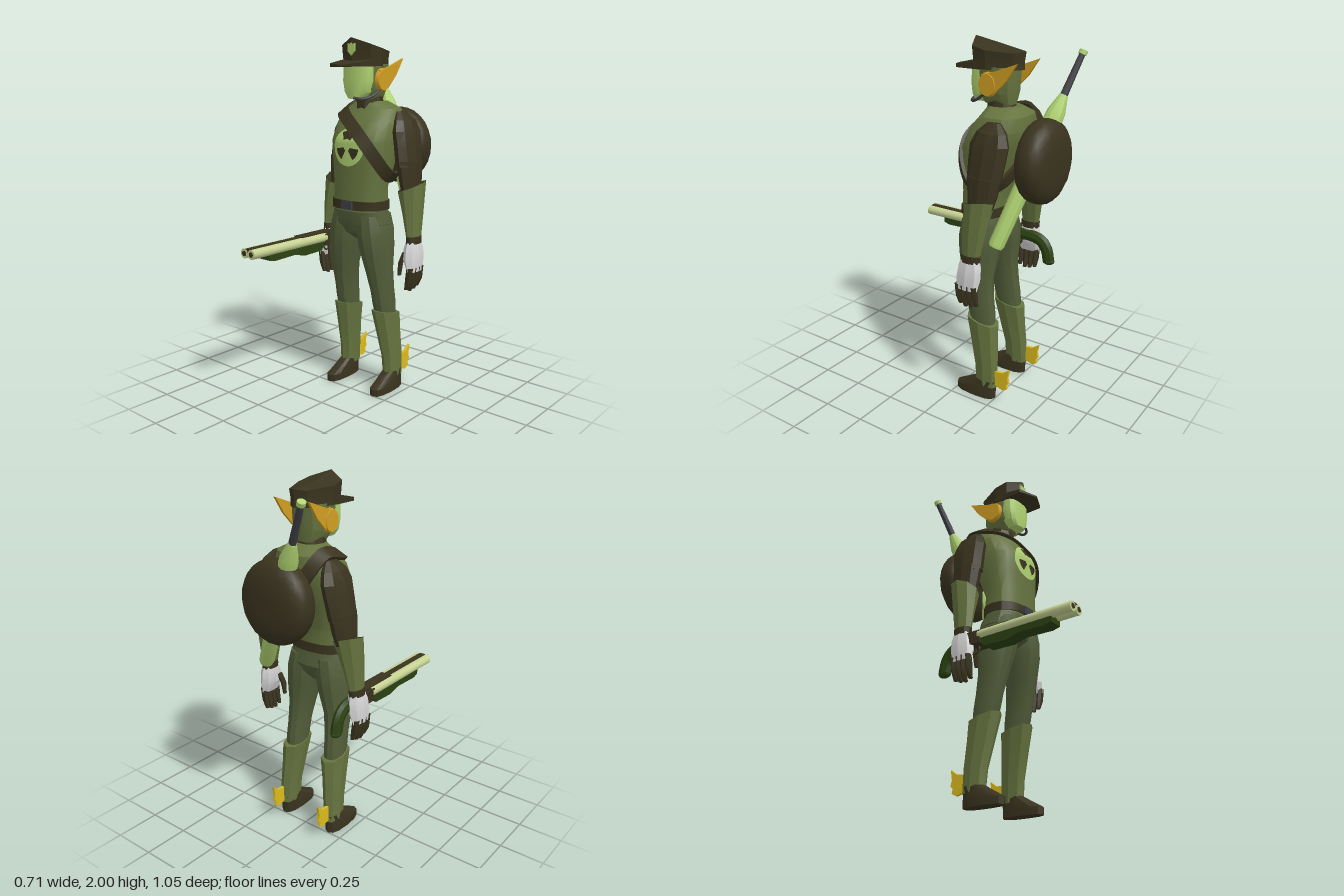
import * as THREE from 'three';
import { toCreasedNormals } from 'three/addons/utils/BufferGeometryUtils.js';

const material = (name, color) => Object.assign(new THREE.MeshStandardMaterial({ color }), { name });

// Skin a list of equal-length rings of [x, y, z]; fan caps close the ends.
function skin(rings, caps = true) {
  const n = rings[0].length, pos = [], idx = [];
  rings.forEach(r => r.forEach(p => pos.push(...p)));
  for (let i = 0; i < rings.length - 1; i++) for (let j = 0; j < n; j++) {
    const a = i * n + j, c = i * n + (j + 1) % n;
    idx.push(a, a + n, c, a + n, c + n, c);
  }
  if (caps) [0, rings.length - 1].forEach((r, end) => {
    const c = pos.length / 3;
    for (let k = 0; k < 3; k++) pos.push(rings[r].reduce((s, p) => s + p[k], 0) / n);
    for (let j = 0; j < n; j++) {
      const a = r * n + j, b = r * n + (j + 1) % n;
      idx.push(c, ...(end ? [b, a] : [a, b]));
    }
  });
  const g = new THREE.BufferGeometry();
  g.setAttribute('position', new THREE.Float32BufferAttribute(pos, 3));
  g.setIndex(idx);
  return g;
}

// Rings from bottom to top: [y, cx, cz, rx, rz, slope along x, slope along z]; p squares the section.
function loft(rows, n = 10, p = 2) {
  const pw = v => Math.sign(v) * Math.abs(v) ** (2 / p);
  return skin(rows.map(([y, cx, cz, rx, rz, sx = 0, sz = 0]) => Array.from({ length: n }, (_, j) => {
    const a = j / n * Math.PI * 2, dx = rx * pw(Math.cos(a)), dz = rz * pw(Math.sin(a));
    return [cx + dx, y + sx * dx + sz * dz, cz + dz];
  })));
}

// Plate cut from a side profile of [z, y] points, centred on x.
function plate(points, x, thick) {
  const s = new THREE.Shape(points.map(([z, y]) => new THREE.Vector2(-z, y)));
  return new THREE.ExtrudeGeometry(s, { depth: thick, bevelEnabled: false })
    .translate(0, 0, x - thick / 2).rotateY(Math.PI / 2);
}

const box = (x, y, z, w, h, d) => new THREE.BoxGeometry(w, h, d).translate(x, y, z);
const tube = (pts, r, n = 16, sides = 6) => new THREE.TubeGeometry(
  new THREE.CatmullRomCurve3(pts.map(p => new THREE.Vector3(...p))), n, r, sides);

function mirrored(g) {
  const m = g.index ? g.toNonIndexed() : g.clone();
  const a = m.attributes.position;
  for (let i = 0; i < a.count; i += 3) {
    const t = [0, 2, 1].map(k => [-a.getX(i + k), a.getY(i + k), a.getZ(i + k)]);
    t.forEach((v, k) => a.setXYZ(i + k, ...v));
  }
  return m;
}

// Torso rings, also used to lay the badge and strap on the chest: [y, cx, cz, rx, rz]
const TORSO = [[1.06, 0, -.09, .163, .115], [1.2, 0, -.09, .163, .112], [1.32, 0, -.115, .18, .137],
  [1.45, 0, -.142, .195, .165], [1.55, 0, -.18, .19, .155], [1.62, 0, -.205, .16, .12], [1.66, 0, -.19, .08, .085]];
function chestZ(x, y) {
  let i = 0;
  while (i < TORSO.length - 2 && TORSO[i + 1][0] < y) i++;
  const t = (y - TORSO[i][0]) / (TORSO[i + 1][0] - TORSO[i][0]);
  const [cz, rx, rz] = [2, 3, 4].map(k => THREE.MathUtils.lerp(TORSO[i][k], TORSO[i + 1][k], t));
  return cz + rz * Math.max(0, 1 - Math.min(1, Math.abs(x) / rx) ** 2.5) ** .4;
}
function onChest(g, lift, cy = 1.415) {
  const a = g.attributes.position;
  for (let i = 0; i < a.count; i++) {
    const x = a.getX(i), y = a.getY(i) + cy;
    a.setXYZ(i, x, y, chestZ(x, y) + lift);
  }
  return g;
}

export function createModel() {
  const root = new THREE.Group();
  const brown = material('dark brown', 0x39331e), shirt = material('shirt green', 0x66743f);
  const trouser = material('trouser green', 0x525d39), lime = material('lime', 0xb0d371);
  const pale = material('pale barrel green', 0xc6d292), gold = material('gold', 0xd09e22);
  const yellow = material('wing yellow', 0xdcbb1e), white = material('glove white', 0xd6d6d6);
  const grey = material('dark grey', 0x404046), stockGreen = material('stock green', 0x2b4212);

  const add = (name, g, mat, crease = .5) => {
    const m = new THREE.Mesh(toCreasedNormals(g, crease), mat);
    m.name = name;
    root.add(m);
  };
  const pair = (name, g, mat, crease) => {
    add(name + 'Left', g, mat, crease);
    add(name + 'Right', mirrored(g), mat, crease);
  };

  // Torso, belt and pelvis
  add('torso', loft(TORSO, 16, 2.5), shirt);
  add('belt', loft([[1.07, 0, -.09, .17, .122], [1.12, 0, -.09, .17, .122]], 16, 2.5), brown);
  add('buckle', box(0, 1.095, .033, .075, .046, .012), grey);
  add('pelvis', loft([[.89, 0, -.11, .025, .05], [.94, 0, -.1, .1, .105], [.99, 0, -.1, .184, .122], [1.075, 0, -.09, .163, .114]], 16, 2.4), trouser);
  add('collar', loft([[1.6, 0, -.175, .09, .095], [1.67, 0, -.165, .073, .075], [1.74, 0, -.165, .065, .07]], 10), brown);

  // Chest badge with a three-bladed sign
  add('chestBadge', onChest(new THREE.RingGeometry(.0001, .104, 28, 6), .007), lime);
  [[60, 60, .045, .09], [186, 54, .02, .077], [300, 54, .02, .077]].forEach(([start, span, r0, r1]) =>
    add('badgeBlade', onChest(new THREE.RingGeometry(r0, r1, 8, 3, start * Math.PI / 180, span * Math.PI / 180), .011), brown));

  // Shoulder strap: a flat band looped around the torso
  const front = [[-.155, 1.61], [-.08, 1.58], [0, 1.535], [.09, 1.465], [.155, 1.365]].map(([x, y]) => [x, y, chestZ(x, y) + .012]);
  const loop = new THREE.CatmullRomCurve3([...front, [.19, 1.26, -.1], [.15, 1.27, -.24], [0, 1.4, -.31],
    [-.11, 1.54, -.34], [-.155, 1.635, -.26]].map(p => new THREE.Vector3(...p)), true);
  const band = [];
  for (let i = 0; i <= 40; i++) {
    const p = loop.getPoint((i % 40) / 40), T = loop.getTangent((i % 40) / 40);
    const N = p.clone().sub(new THREE.Vector3(0, 1.4, -.15));
    N.addScaledVector(T, -N.dot(T)).normalize();
    const B = T.clone().cross(N);
    band.push([[1, 1], [-1, 1], [-1, -1], [1, -1]].map(([b, k]) =>
      p.clone().addScaledVector(B, b * .036).addScaledVector(N, k * .009).toArray()));
  }
  add('shoulderStrap', skin(band, false), brown);

  // Head, face and headset
  add('head', loft([[1.67, 0, -.16, .06, .085], [1.73, 0, -.145, .09, .11], [1.86, 0, -.145, .097, .115]], 14, 2.6), shirt);
  add('face', loft([[1.675, 0, -.055, .045, .045], [1.71, 0, -.062, .077, .053], [1.77, 0, -.066, .091, .058],
    [1.855, 0, -.07, .092, .056]], 14, 2.6), lime);
  pair('earDisc', new THREE.CylinderGeometry(.052, .06, .022, 12).rotateZ(-Math.PI / 2).scale(1, 1.08, .95).translate(.107, 1.775, -.145), gold);
  pair('earWing', plate([[-.11, 1.825], [-.19, 1.845], [-.32, 1.893], [-.26, 1.805], [-.19, 1.735]], .107, .014), gold);
  add('microphone', tube([[.105, 1.74, -.14], [.092, 1.69, -.07], [.06, 1.675, -.02], [.02, 1.68, .0]], .008), grey);

  // Peaked cap
  const outline = [[.112, -.13], [.104, -.05], [0, -.003], [-.104, -.05], [-.112, -.13], [-.055, -.27], [0, -.305], [.055, -.27]];
  const capRing = (k, yAt) => outline.map(([x, z]) => [x * k, yAt(x, z), -.13 + (z + .13) * k]);
  add('cap', skin([capRing(.96, () => 1.848), capRing(.95, () => 1.885), capRing(1, (x, z) => 2 - .27 * Math.abs(x) + .2 * z)]), brown, .2);
  // Wedge brim, flat below and sloping down to the tip
  const brim = [[.102, -.09], [.105, .05], [0, .1], [-.105, .05], [-.102, -.09]];
  add('capBrim', skin([() => 1.845, z => 1.874 - .2 * z].map(y => brim.map(([x, z]) => [x, y(z), z]))), brown, .2);
  const crest = new THREE.Shape([[-.024, .03], [-.01, .024], [0, .034], [.01, .024], [.024, .03], [.024, -.01], [0, -.034], [-.024, -.01]]
    .map(p => new THREE.Vector2(...p)));
  add('capCrest', new THREE.ExtrudeGeometry(crest, { depth: .009, bevelEnabled: false }).translate(0, 1.938, -.011), lime);

  // Arms
  pair('sleeveUpper', loft([[1.31, .24, -.215, .054, .1], [1.42, .225, -.225, .052, .11], [1.5, .211, -.23, .051, .114],
    [1.56, .195, -.232, .042, .088], [1.605, .172, -.23, .02, .04]], 9), brown, .3);
  pair('sleeveLower', loft([[1.14, .265, -.205, .04, .065], [1.24, .252, -.215, .048, .088], [1.34, .24, -.218, .055, .1]], 9), brown, .3);
  const rim = [1.2, .268, -.208, .075, .083, .35, -.2];
  pair('gauntlet', loft([[.92, .305, -.18, .032, .055], [1.05, .29, -.19, .05, .07], rim], 8), shirt, .3);
  pair('gauntletLining', loft([rim, [1.203, ...rim.slice(1)]], 8), brown, .3);

  // Hands
  pair('cuff', loft([[.89, .306, -.178, .036, .056], [.93, .305, -.18, .036, .058]], 10), brown);
  pair('glove', loft([[.735, .325, -.165, .022, .066], [.8, .313, -.17, .04, .075], [.86, .308, -.175, .04, .07],
    [.9, .306, -.178, .033, .054]], 8, 2.3), white, .3);
  for (let i = 0; i < 4; i++) {
    const z = -.115 - i * .033, d = Math.abs(i - 1.3) * .012;
    pair('finger', loft([[.62 + d, .305, z, .012, .012], [.67 + d, .32, z, .023, .016], [.76, .328, z, .022, .018]], 6), brown);
  }
  pair('thumb', loft([[.71, .258, -.115, .009, .013], [.78, .262, -.12, .015, .017], [.84, .28, -.135, .014, .02]], 6), brown);

  // Legs, boots, shoes and heel wings
  pair('trouserLeg', loft([[.42, .138, -.155, .05, .065], [.52, .136, -.138, .054, .078], [.6, .133, -.125, .055, .08],
    [.72, .125, -.105, .067, .09], [.86, .108, -.1, .087, .115], [.95, .097, -.1, .092, .122], [1.04, .085, -.1, .08, .112]], 12, 2.3), trouser);
  pair('boot', loft([[.075, .162, -.19, .04, .07], [.2, .158, -.185, .045, .073], [.34, .148, -.165, .052, .085],
    [.47, .139, -.147, .062, .1, 0, .2]], 8, 2.3), shirt, .3);
  pair('shoe', loft([[0, .165, -.122, .045, .127], [.04, .165, -.122, .046, .128], [.07, .163, -.15, .042, .1],
    [.11, .162, -.188, .038, .067]], 12, 2.6), brown);
  pair('heelWing', plate([[-.25, .09], [-.3, .075], [-.33, .09], [-.325, .115], [-.34, .13], [-.332, .16], [-.342, .215],
    [-.3, .185], [-.25, .18]], .165, .016), yellow);

  // Plump pack: a sphere kept round from behind and squared off in depth
  const pack = new THREE.IcosahedronGeometry(1, 4), pa = pack.attributes.position;
  for (let i = 0; i < pa.count; i++) {
    const [x, y, z] = [pa.getX(i), pa.getY(i), pa.getZ(i)], q = 2.8;
    const k = (Math.hypot(x, y) ** q + Math.abs(z) ** q) ** (-1 / q);
    pa.setXYZ(i, x * k, y * k, z * k);
  }
  add('backpack', pack.scale(.212, .222, .097).translate(.008, 1.4, -.426), brown);

  // Bat slung through the pack
  const top = new THREE.Vector3(-.225, 1.935, -.505), end = new THREE.Vector3(.235, .97, -.285);
  const dir = top.clone().sub(end), L = dir.length();
  const turned = pts => {
    const g = new THREE.LatheGeometry(pts.map(([r, y]) => new THREE.Vector2(r, y)), 12);
    return g.applyQuaternion(new THREE.Quaternion().setFromUnitVectors(new THREE.Vector3(0, 1, 0), dir.clone().normalize()))
      .translate(end.x, end.y, end.z);
  };
  add('batBarrel', turned([[0, 0], [.036, 0], [.042, .02], [.05, .7], [.047, .76], [.022, .85], [0, .85]]), lime);
  add('batHandle', turned([[.02, .84], [.016, L - .02]]), grey);
  add('batKnob', turned([[0, L - .022], [.022, L - .022], [.022, L], [0, L]]), lime);

  // Double-barrelled shotgun held in the right hand
  const gx = -.28;
  [-1, 1].forEach(s => {
    add('gunBarrel', new THREE.CylinderGeometry(.027, .027, .58, 14).rotateX(Math.PI / 2).translate(gx + s * .027, .863, .23), pale);
    add('muzzleBore', new THREE.CylinderGeometry(.015, .015, .004, 12).rotateX(Math.PI / 2).translate(gx + s * .027, .863, .52), brown);
  });
  add('gunRib', box(gx, .88, .26, .036, .022, .516), brown);
  add('gunTopPlate', box(gx, .884, .0, .066, .02, .27), brown);
  add('gunReceiver', box(gx, .85, -.09, .098, .07, .09), brown);
  add('gunForeEnd', plate([[.4, .845], [.4, .81], [.36, .8], [.2, .805], [.12, .785], [-.02, .79], [-.06, .845]], gx, .08), stockGreen);
  add('triggerGuard', new THREE.TorusGeometry(.03, .005, 5, 14).rotateY(Math.PI / 2).translate(gx, .805, -.11), brown);
  // Stock swells in depth but stays slim in width
  const slim = g => g.translate(-gx, 0, 0).scale(.75, 1, 1).translate(gx, 0, 0);
  add('gunStock', slim(tube([[gx, .84, -.1], [gx, .845, -.2], [gx, .825, -.27], [gx, .78, -.305], [gx, .715, -.32]], .038, 14, 8)), stockGreen);
  add('stockButt', slim(new THREE.SphereGeometry(.039, 8, 6).scale(1, .6, 1).translate(gx, .713, -.32)), stockGreen);
  return root;
}
